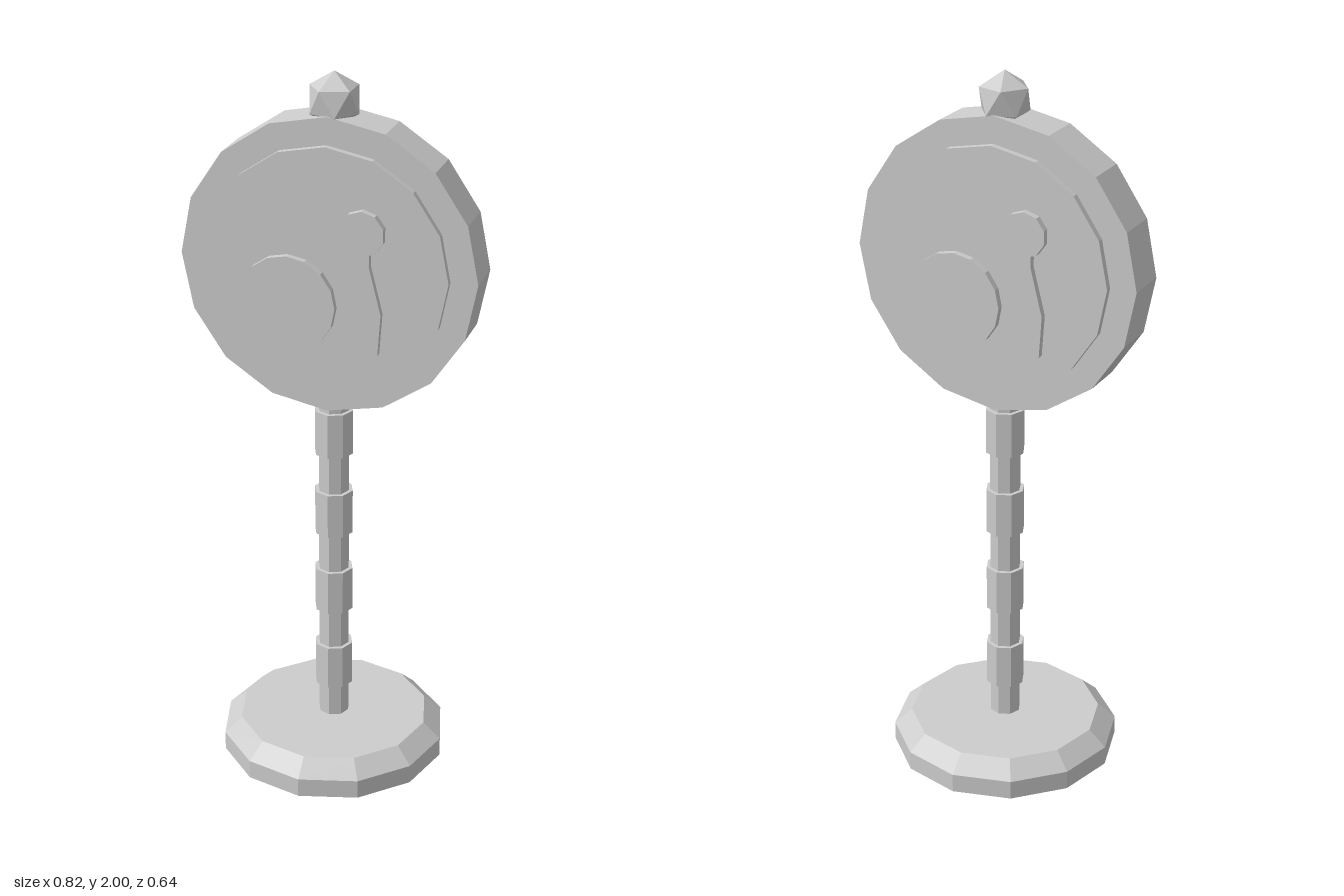
import * as THREE from 'three';

export function createModel() {
  const model = new THREE.Group();
  model.name = 'roundSignPost';
  const grey = new THREE.MeshStandardMaterial({ color: 0xcccccc, flatShading: true });
  grey.name = 'plainGrey';

  const add = (parent, name, geometry, x = 0, y = 0, z = 0) => {
    const mesh = new THREE.Mesh(geometry, grey);
    mesh.name = name;
    mesh.position.set(x, y, z);
    parent.add(mesh);
    return mesh;
  };
  // Faceted disc whose flat sides face front and back
  const disc = (radius, depth, sides) =>
    new THREE.CylinderGeometry(radius, radius, depth, sides).rotateX(Math.PI / 2);

  // Twelve-sided foot with a bevelled rim
  add(model, 'baseFoot', new THREE.CylinderGeometry(0.322, 0.322, 0.055, 12), 0, 0.0275, 0);
  add(model, 'baseBevel', new THREE.CylinderGeometry(0.272, 0.322, 0.045, 12), 0, 0.0775, 0);

  // Pole with four raised bands
  add(model, 'pole', new THREE.CylinderGeometry(0.044, 0.044, 1.04, 8), 0, 0.61, 0);
  for (let i = 0; i < 4; i++) {
    add(model, 'poleBand', new THREE.CylinderGeometry(0.055, 0.055, 0.13, 8), 0, 0.262 + i * 0.244, 0);
  }

  // Round sign board with a raised panel on both faces
  const sign = new THREE.Group();
  sign.name = 'sign';
  sign.position.set(0, 1.486, -0.003);
  model.add(sign);
  add(sign, 'signRim', disc(0.409, 0.125, 16));
  add(sign, 'signPanel', disc(0.335, 0.162, 16));

  // Outline of the bottle-shaped handle below the round head
  const outline = [
    [-0.045, -0.215], [0.047, -0.215], [0.055, -0.1], [0.022, 0.03],
    [0.022, 0.066], [-0.022, 0.066], [-0.022, 0.03], [-0.053, -0.1],
  ].map(([x, y]) => new THREE.Vector2(x, y));
  const handle = new THREE.ExtrudeGeometry(new THREE.Shape(outline), { depth: 0.038, bevelEnabled: false });

  // Plate and utensil reliefs, the same on the front and the back
  for (const turn of [0, Math.PI]) {
    const relief = new THREE.Group();
    relief.name = turn ? 'backRelief' : 'frontRelief';
    relief.rotation.y = turn;
    sign.add(relief);
    add(relief, 'plate', disc(0.134, 0.04, 16), -0.101, -0.099, 0.08);
    add(relief, 'utensilHandle', handle, 0.104, 0, 0.061);
    add(relief, 'utensilHead', disc(0.062, 0.04, 10), 0.105, 0.118, 0.0805);
  }

  // Twenty-sided finial standing on one point
  const finial = new THREE.IcosahedronGeometry(0.075, 0).rotateZ(Math.atan(2 / (1 + Math.sqrt(5))));
  add(model, 'finial', finial, 0, 1.925, -0.003);

  return model;
}
